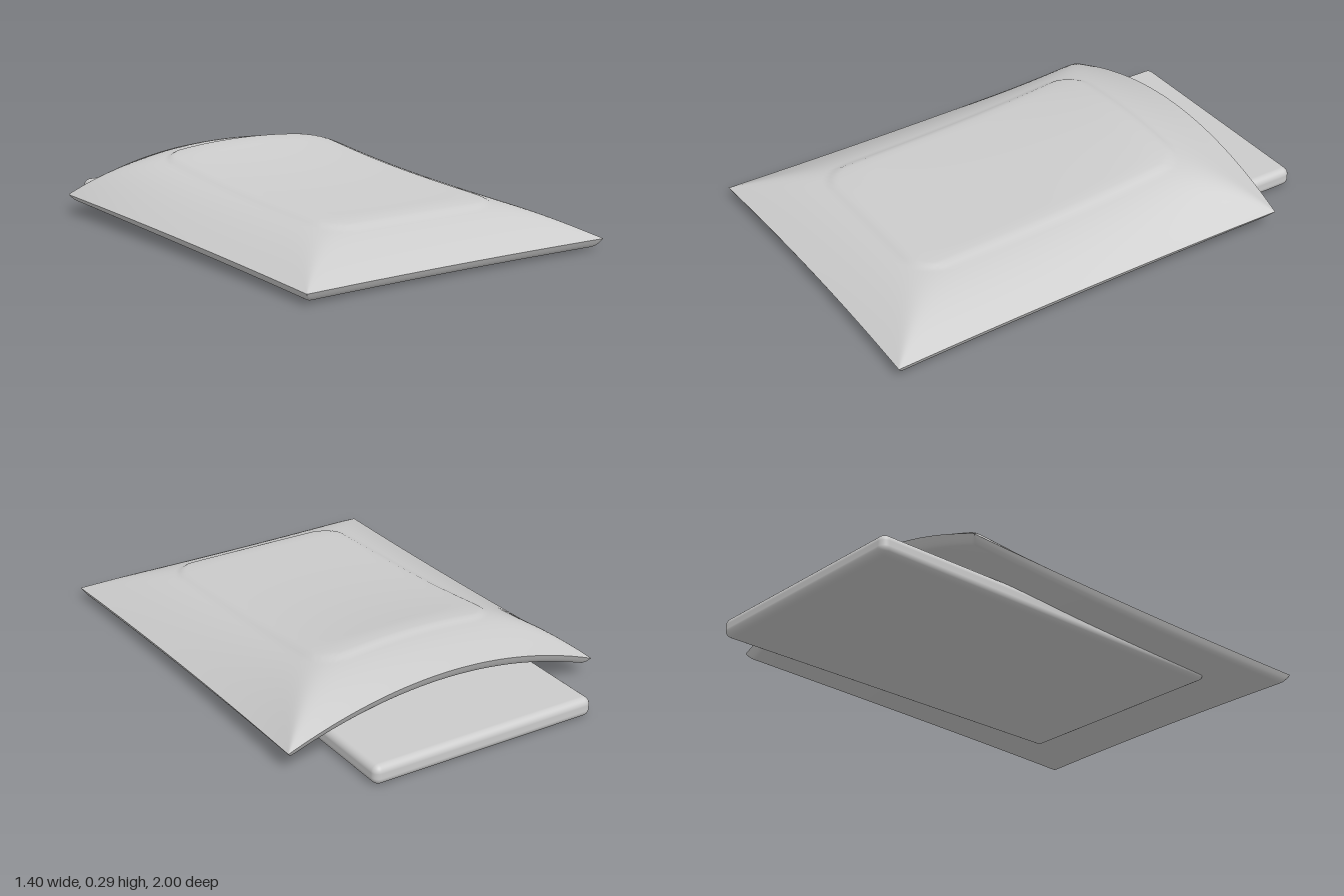
import * as THREE from 'three';
import { RoundedBoxGeometry } from 'three/addons/geometries/RoundedBoxGeometry.js';

const HALF_W = 0.7, BACK = -0.75, FRONT = 1;
const NX = 110, NZ = 130;

// Height of the rim: tilts up to the back and arches over the slab there
function rimHeight(u, z) {
  const t = (FRONT - z) / (FRONT - BACK);
  return 0.045 + 0.035 * t + 0.145 * (1 - u * u) * Math.pow(t, 3.3);
}

// Slightly raised rounded panel on top
function panelRaise(x, z) {
  const r = 0.13;
  const qx = Math.abs(x) - 0.41 + r, qz = Math.abs(z - 0.11) - 0.62 + r;
  const dist = Math.hypot(Math.max(qx, 0), Math.max(qz, 0)) + Math.min(Math.max(qx, qz), 0) - r;
  return 0.008 * (1 - THREE.MathUtils.smoothstep(dist, -0.018, 0.004));
}

// One sheet of the cushion, with rows crowded towards the rim
function cushionSheet(top) {
  const positions = [], index = [];
  for (let j = 0; j <= NZ; j++) {
    const v = Math.sin((j / NZ - 0.5) * Math.PI);
    for (let i = 0; i <= NX; i++) {
      const u = Math.sin((i / NX - 0.5) * Math.PI);
      // sides bow in a little between the corners
      const x = u * (HALF_W - 0.014 * (1 - v * v));
      const z = 0.125 + v * 0.87 - (v > 0 ? 0.015 * v * (1 - u * u) : 0.012 * v * v * (1 - u * u));
      const dx = HALF_W * (1 - Math.abs(u)), dz = 0.875 * (1 - Math.abs(v));
      // soft minimum leaves a crease running in from each corner
      const d = Math.min(dx, dz) < 1e-6 ? 0 : Math.pow(dx ** -6 + dz ** -6, -1 / 6);
      const y = rimHeight(u, z) + (top
        ? 0.13 * Math.sin(Math.PI / 2 * Math.min(1, d / 0.36)) + panelRaise(x, z)
        : -0.035 * Math.sin(Math.PI / 2 * Math.min(1, d / 0.03)));
      positions.push(x, y, z);
      if (i < NX && j < NZ) {
        const a = j * (NX + 1) + i, b = a + 1, c = a + NX + 1, e = c + 1;
        if (top) index.push(a, c, b, b, c, e);
        else index.push(a, b, c, b, e, c);
      }
    }
  }
  const geometry = new THREE.BufferGeometry();
  geometry.setAttribute('position', new THREE.Float32BufferAttribute(positions, 3));
  geometry.setIndex(index);
  geometry.computeVertexNormals();
  return geometry;
}

export function createModel() {
  const model = new THREE.Group();
  const material = new THREE.MeshStandardMaterial({ color: 0xcccccc });
  const add = (parent, name, geometry) => {
    const mesh = new THREE.Mesh(geometry, material);
    mesh.name = name;
    parent.add(mesh);
    return mesh;
  };

  // Cushion: puffed top and thin underside meeting at the rim
  const cushion = new THREE.Group();
  cushion.name = 'cushion';
  add(cushion, 'cushionTop', cushionSheet(true));
  add(cushion, 'cushionUnderside', cushionSheet(false));
  model.add(cushion);

  // Flat slab beneath, sticking out at the back
  const slab = add(model, 'baseSlab', new RoundedBoxGeometry(0.99, 0.08, 1.7, 5, 0.03));
  slab.position.set(-0.005, 0.04, -0.15);

  return model;
}
